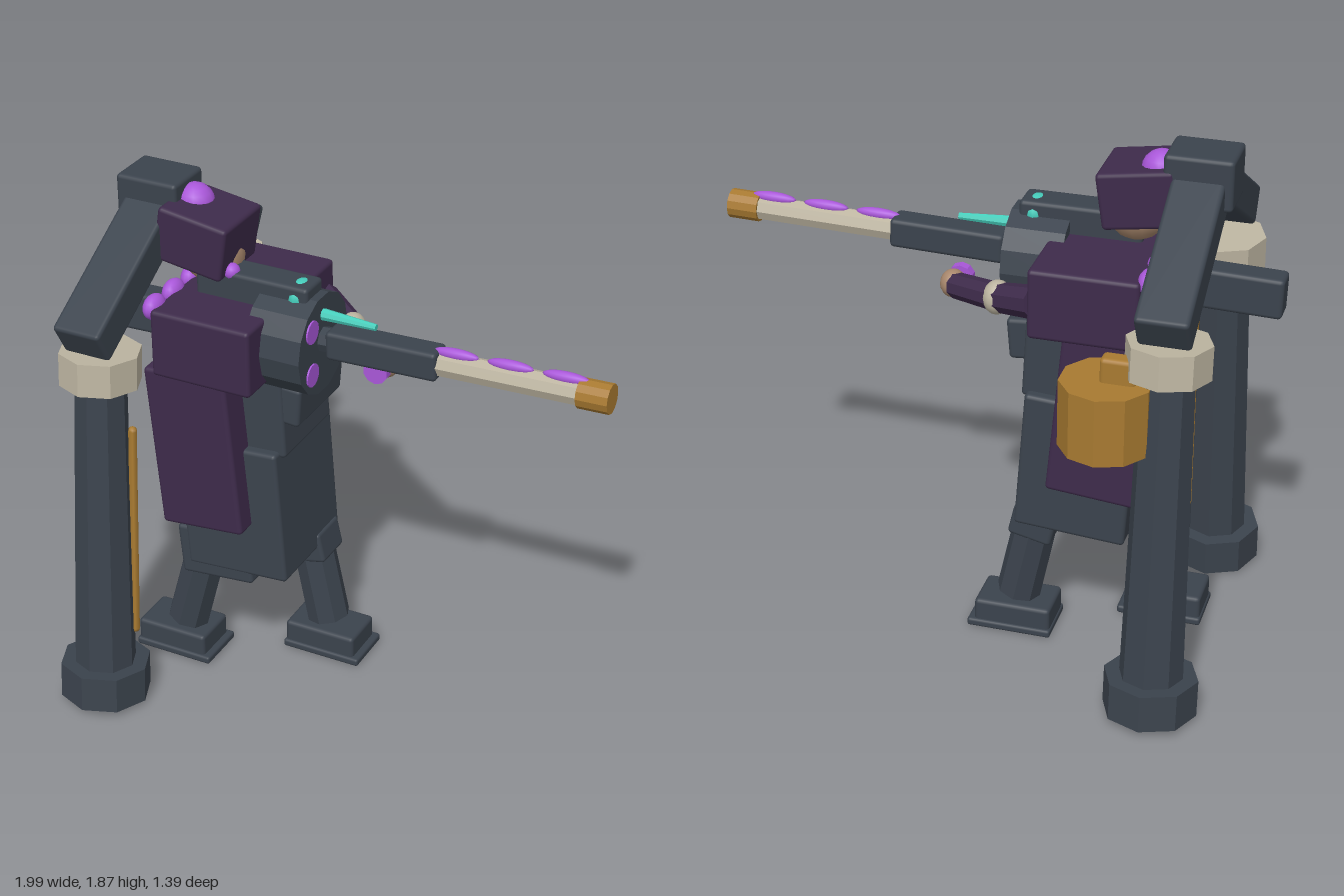
import * as THREE from 'three';
import { RoundedBoxGeometry } from 'three/addons/geometries/RoundedBoxGeometry.js';

const mat = (name, color) => {
  const m = new THREE.MeshStandardMaterial({ color });
  m.name = name;
  return m;
};

export function createModel() {
  const slate = mat('slate', 0x3b434d);
  const plum = mat('plum', 0x3e2b4b);
  const violet = mat('violet', 0xa957d9);
  const teal = mat('teal', 0x45cdbb);
  const brass = mat('brass', 0xa87a31);
  const bone = mat('bone', 0xbdb5a1);
  const skin = mat('skin', 0xa8876c);

  const root = new THREE.Group();
  root.name = 'gunner';

  const add = (parent, name, geo, material, pos) => {
    const m = new THREE.Mesh(geo, material);
    m.name = name;
    m.position.set(...pos);
    parent.add(m);
    return m;
  };
  const box = (parent, name, material, size, pos, rz = 0, rx = 0, r = 0.015) => {
    const m = add(parent, name, new RoundedBoxGeometry(...size, 2, r), material, pos);
    m.rotation.set(rx, 0, rz);
    return m;
  };
  // faceted cylinder standing on y
  const prism = (parent, name, material, rTop, rBottom, h, sides, pos) => {
    const g = new THREE.CylinderGeometry(rTop, rBottom, h, sides).toNonIndexed();
    g.computeVertexNormals();
    return add(parent, name, g, material, pos);
  };
  const blob = (parent, name, material, radii, pos) => {
    const m = add(parent, name, new THREE.SphereGeometry(1, 16, 10), material, pos);
    m.scale.set(...radii);
    return m;
  };
  // faceted rod between two points
  const rod = (name, material, a, b, rA, rB, sides = 8) => {
    const A = new THREE.Vector3(...a), B = new THREE.Vector3(...b);
    const d = B.clone().sub(A);
    const m = prism(root, name, material, rB, rA, d.length(), sides,
      A.clone().add(B).multiplyScalar(0.5).toArray());
    m.quaternion.setFromUnitVectors(new THREE.Vector3(0, 1, 0), d.normalize());
    return m;
  };

  // Tall leaning pillars, with braces up to the crown block
  for (const s of [1, -1]) {
    const pillar = new THREE.Group();
    pillar.name = s > 0 ? 'leftPillar' : 'rightPillar';
    pillar.position.set(-0.71, 0, s * 0.53);
    pillar.rotation.x = -s * 0.072;
    root.add(pillar);
    prism(pillar, 'pillarBase', slate, 0.165, 0.165, 0.135, 8, [0, 0.083, 0]);
    prism(pillar, 'pillarShaft', slate, 0.092, 0.112, 1.15, 8, [0, 0.7, 0]);
    prism(pillar, 'pillarCollar', bone, 0.145, 0.145, 0.12, 8, [0, 1.325, 0]);
    const strip = add(pillar, 'pillarStrip', new THREE.CapsuleGeometry(0.017, 0.8, 3, 6), brass,
      [0.088, 0.67, -s * 0.062]);
    strip.rotation.x = s * 0.008;
    box(root, 'brace', slate, [0.18, 0.14, 0.6], [-0.71, 1.6, s * 0.285], 0, s * 0.52);
  }
  box(root, 'crownBlock', slate, [0.235, 0.18, 0.19], [-0.71, 1.78, 0]);

  // Coat, skirt and chest
  box(root, 'shoulders', plum, [0.38, 0.25, 0.635], [-0.39, 1.38, 0]);
  box(root, 'coat', plum, [0.32, 0.62, 0.58], [-0.448, 0.965, 0], 0.09);
  box(root, 'skirt', slate, [0.4, 0.52, 0.425], [-0.345, 0.71, 0], 0.07);
  box(root, 'waist', slate, [0.32, 0.32, 0.35], [-0.31, 1.11, 0], 0.05);
  box(root, 'chest', slate, [0.18, 0.15, 0.33], [-0.18, 1.17, 0], -0.08);

  // Legs: the left steps back, the right steps forward
  box(root, 'leftHip', slate, [0.29, 0.2, 0.13], [-0.42, 0.5, 0.145], 0.09);
  box(root, 'rightHip', slate, [0.16, 0.12, 0.16], [-0.19, 0.45, -0.115], 0.22);
  const legs = [
    ['left', [-0.49, 0.5, 0.12], [-0.59, 0.13, 0.12], -0.62],
    ['right', [-0.2, 0.5, -0.115], [-0.123, 0.13, -0.115], -0.12],
  ];
  for (const [side, top, ankle, footX] of legs) {
    rod(side + 'Leg', slate, top, ankle, 0.078, 0.08);
    box(root, side + 'Foot', slate, [0.28, 0.1, 0.18], [footX, 0.06, ankle[2]]);
    box(root, side + 'Sole', slate, [0.31, 0.03, 0.2], [footX + 0.01, 0.015, ankle[2]], 0, 0, 0.01);
  }

  // Head under a square hood
  blob(root, 'head', skin, [0.11, 0.11, 0.1], [-0.485, 1.62, 0.03]);
  box(root, 'hood', plum, [0.265, 0.2, 0.26], [-0.51, 1.695, 0.03], -0.15);
  blob(root, 'hoodOrb', violet, [0.07, 0.07, 0.068], [-0.57, 1.78, 0]);
  blob(root, 'hoodBead', violet, [0.03, 0.03, 0.03], [-0.38, 1.6, 0.095]);
  for (let i = -2; i <= 2; i++)
    blob(root, 'collarBead', violet, [0.035, 0.045, 0.055], [-0.595, 1.49, i * 0.128]);

  // Right arm reaching to the gun
  rod('upperArm', plum, [-0.22, 1.37, -0.27], [-0.06, 1.325, -0.18], 0.058, 0.052);
  rod('forearm', plum, [-0.06, 1.325, -0.18], [0.12, 1.295, -0.075], 0.05, 0.046);
  blob(root, 'elbowCuff', bone, [0.05, 0.06, 0.058], [-0.06, 1.325, -0.18]);
  blob(root, 'hand', skin, [0.045, 0.05, 0.05], [0.135, 1.295, -0.06]);
  rod('gripButton', violet, [0.125, 1.295, -0.015], [0.125, 1.295, 0.018], 0.046, 0.046, 10);

  // Long gun, slightly raised
  const gun = new THREE.Group();
  gun.name = 'gun';
  gun.position.set(0, 1.405, 0.06);
  gun.rotation.z = 0.03;
  root.add(gun);
  const along = (name, material, r, x0, x1, sides) => {
    const m = prism(gun, name, material, r, r, x1 - x0, sides, [(x0 + x1) / 2, 0, 0]);
    m.rotation.z = -Math.PI / 2;
    return m;
  };
  box(gun, 'gunStock', slate, [0.5, 0.145, 0.1], [-0.745, -0.025, 0]);
  along('gunCore', slate, 0.045, -0.5, 0.05, 8);
  box(gun, 'barrelSleeve', slate, [0.41, 0.105, 0.1], [0.185, 0, 0]);
  along('barrel', bone, 0.045, 0.38, 0.9, 8);
  along('muzzle', brass, 0.052, 0.885, 0.995, 12);
  for (const x of [0.445, 0.64, 0.835])
    blob(gun, 'barrelBead', violet, [0.083, 0.02, 0.02], [x, 0.045, 0]);

  // Drum housing, its round lights and the rail on top
  const drum = rod('drumHousing', slate, [-0.26, 1.385, 0.06], [-0.05, 1.385, 0.06], 0.183, 0.183, 14);
  drum.name = 'drumHousing';
  for (const y of [1.303, 1.467])
    rod('drumLight', violet, [-0.052, y, 0.145], [-0.044, y, 0.145], 0.042, 0.042, 14);
  box(root, 'topRail', slate, [0.43, 0.12, 0.12], [-0.295, 1.545, 0.06]);
  blob(root, 'sightDome', teal, [0.045, 0.055, 0.068], [-0.13, 1.555, 0.06]);
  rod('sightSpike', teal, [-0.06, 1.497, 0.06], [0.15, 1.493, 0.06], 0.022, 0.012, 8);

  // Brass canister hung by the right pillar
  prism(root, 'canister', brass, 0.158, 0.158, 0.24, 10, [-0.52, 1.12, -0.485]);
  box(root, 'canisterHandle', brass, [0.12, 0.1, 0.065], [-0.56, 1.275, -0.482]);
  blob(root, 'canisterKnob', slate, [0.048, 0.048, 0.048], [-0.52, 0.975, -0.48]);

  return root;
}
